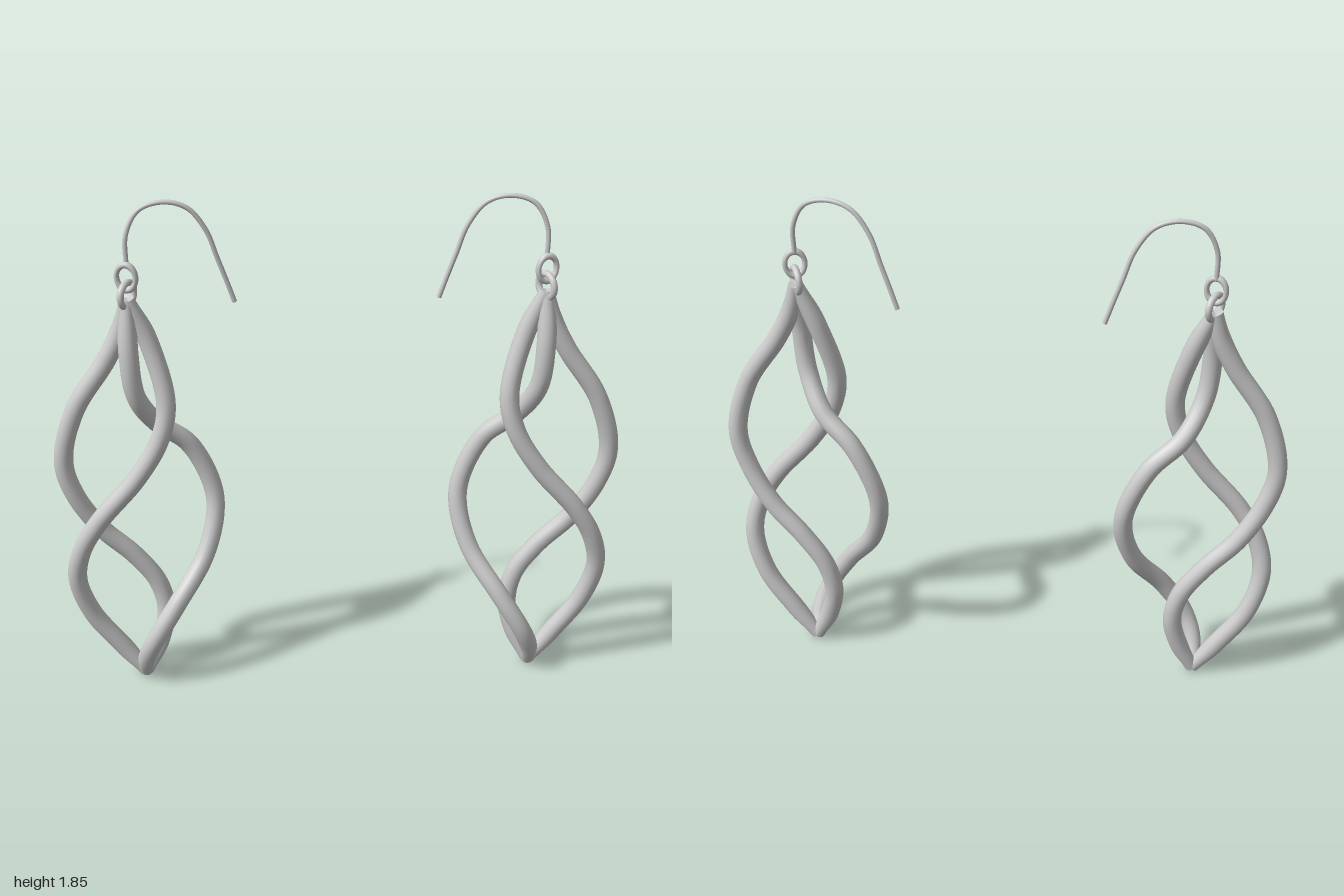
import * as THREE from 'three';

const material = new THREE.MeshStandardMaterial({ color: 0xcccccc });
const AXIS = 0.714; // distance of each earring from the centre

// Spiral wires and hook of the earring on the -x side, as [x, y, z]
const WIRES = {
  outerWire: [
    [-0.714, 1.515, 0], [-0.74, 1.41, 0.005], [-0.794, 1.3, 0.01], [-0.912, 1.115, 0.015],
    [-0.965, 0.91, 0.008], [-0.933, 0.77, 0], [-0.848, 0.62, -0.02], [-0.74, 0.5, -0.035],
    [-0.66, 0.38, -0.04], [-0.634, 0.26, -0.035], [-0.66, 0.14, -0.02], [-0.716, 0.018, 0],
  ],
  frontWire: [
    [-0.71, 1.515, 0], [-0.644, 1.355, 0.005], [-0.596, 1.14, 0.035], [-0.623, 1.01, 0.05],
    [-0.709, 0.865, 0.06], [-0.848, 0.7, 0.065], [-0.917, 0.58, 0.055], [-0.944, 0.447, 0.035],
    [-0.901, 0.286, 0.012], [-0.805, 0.14, 0.002], [-0.718, 0.018, 0],
  ],
  innerWire: [
    [-0.714, 1.515, 0], [-0.714, 1.33, 0.04], [-0.698, 1.17, 0.03], [-0.634, 1.035, -0.035],
    [-0.527, 0.93, -0.075], [-0.452, 0.767, -0.08], [-0.441, 0.66, -0.065], [-0.484, 0.5, -0.015],
    [-0.591, 0.34, 0.065], [-0.676, 0.2, 0.085], [-0.712, 0.1, 0.05], [-0.718, 0.018, 0],
  ],
};
const HOOK = [
  [-0.708, 1.64, -0.005], [-0.704, 1.745, -0.01], [-0.66, 1.826, -0.018], [-0.58, 1.85, -0.027],
  [-0.5, 1.826, -0.036], [-0.44, 1.745, -0.043], [-0.404, 1.64, -0.049], [-0.375, 1.555, -0.053],
  [-0.35, 1.478, -0.056],
];

function named(name, geometry) {
  const mesh = new THREE.Mesh(geometry, material);
  mesh.name = name;
  return mesh;
}

// Round wire along a smooth path; the radius shrinks to endScale at both ends, which are capped
function wire(name, points, side, radius, endScale, segments) {
  const curve = new THREE.CatmullRomCurve3(points.map(([x, y, z]) => new THREE.Vector3(-side * x, y, z)));
  const sides = 14;
  const tube = new THREE.TubeGeometry(curve, segments, radius, sides);
  const pos = tube.attributes.position;
  const v = new THREE.Vector3();
  for (let i = 0; i <= segments; i++) {
    const t = i / segments;
    const k = THREE.MathUtils.lerp(endScale, 1, THREE.MathUtils.smoothstep(Math.min(t, 1 - t), 0, 0.08));
    const centre = curve.getPointAt(t);
    for (let j = 0; j <= sides; j++) {
      const n = i * (sides + 1) + j;
      v.fromBufferAttribute(pos, n).sub(centre).multiplyScalar(k).add(centre);
      pos.setXYZ(n, v.x, v.y, v.z);
    }
  }
  const group = new THREE.Group();
  group.name = name;
  group.add(named(name + 'Tube', tube));
  for (const t of [0, 1]) {
    const cap = named(name + 'End', new THREE.CircleGeometry(radius * endScale, sides));
    const p = curve.getPointAt(t);
    cap.position.copy(p);
    cap.lookAt(p.clone().addScaledVector(curve.getTangentAt(t), t ? 1 : -1));
    group.add(cap);
  }
  return group;
}

// Small oval jump ring
function ring(name, side, y, turn, width, height) {
  const mesh = named(name, new THREE.TorusGeometry(height, 0.012, 12, 32));
  mesh.scale.x = width / height;
  mesh.position.set(side * (AXIS - 0.004), y, 0);
  mesh.rotation.y = side * turn;
  return mesh;
}

function earring(name, side) {
  const group = new THREE.Group();
  group.name = name;
  for (const [part, points] of Object.entries(WIRES)) {
    group.add(wire(part, points, side, 0.034, 0.72, 96));
  }
  group.add(ring('lowerRing', side, 1.535, -Math.PI / 2 + 0.5, 0.043, 0.042));
  group.add(ring('upperRing', side, 1.597, 0.3, 0.034, 0.045));
  group.add(wire('earHook', HOOK, side, 0.0085, 1, 64));
  return group;
}

export function createModel() {
  const model = new THREE.Group();
  model.name = 'spiralEarrings';
  model.add(earring('leftEarring', 1), earring('rightEarring', -1));
  return model;
}
